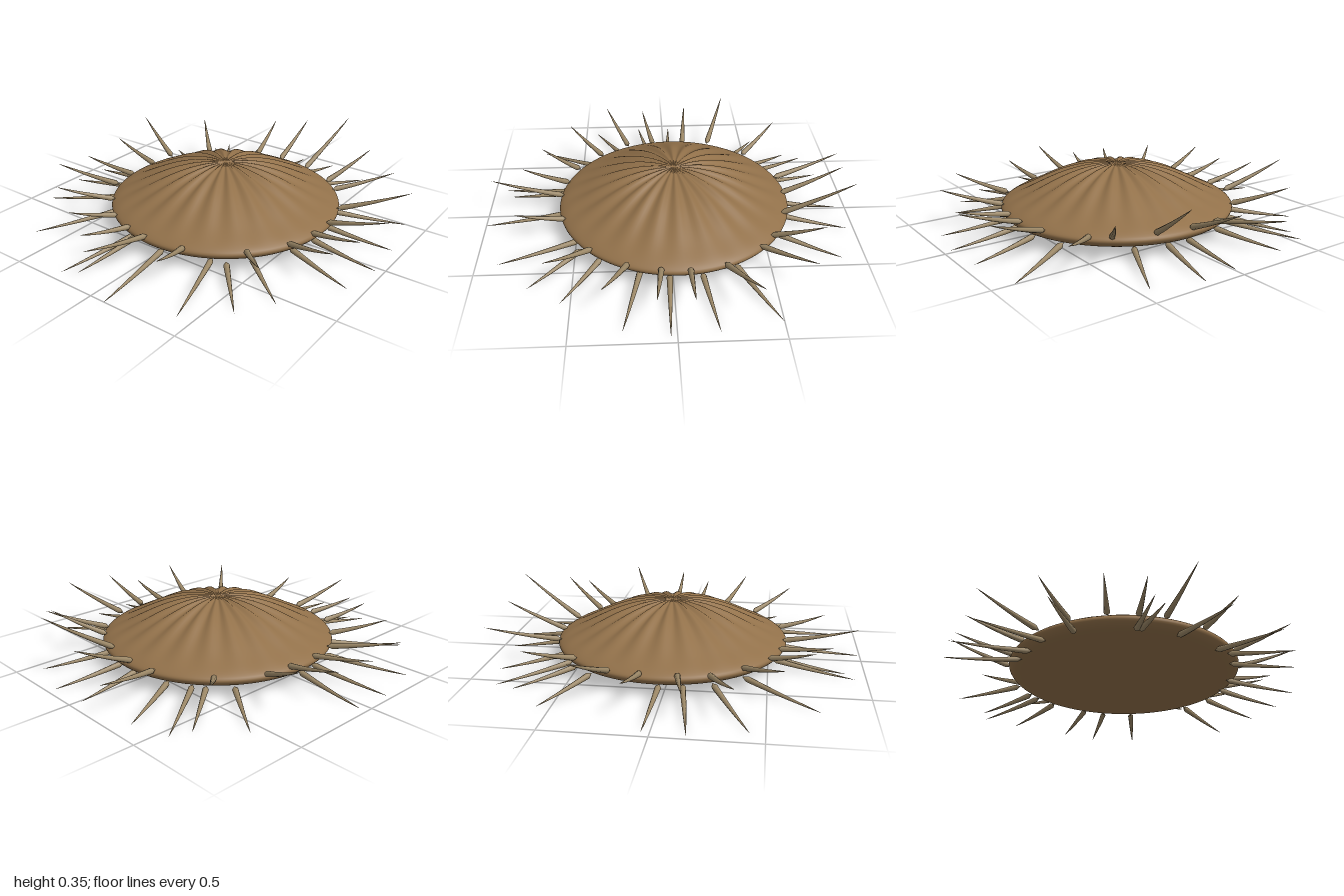
import * as THREE from 'three';
import { mergeVertices } from 'three/addons/utils/BufferGeometryUtils.js';

const CENTRE = { x: 0.015, z: -0.03 };

// Fluted dome with a rounded rim and a flat underside
function shellGeometry() {
  const dome = new THREE.SplineCurve([
    [0.54, 0.05], [0.595, 0.062], [0.625, 0.095], [0.595, 0.125], [0.5, 0.168],
    [0.4, 0.215], [0.3, 0.258], [0.2, 0.29], [0.1, 0.309], [0, 0.315],
  ].map(([r, y]) => new THREE.Vector2(r, y))).getPoints(40);
  dome[dome.length - 1].x = 0;
  const flat = [0, 0.2, 0.4].map((r) => new THREE.Vector2(r, 0.05));
  let geo = new THREE.LatheGeometry([...flat, ...dome], 176);
  geo.deleteAttribute('uv');
  geo.deleteAttribute('normal');
  geo = mergeVertices(geo, 1e-5);
  // Radial flutes, fading out at the crown and the rim
  const p = geo.attributes.position;
  for (let i = 0; i < p.count; i++) {
    const x = p.getX(i), y = p.getY(i), z = p.getZ(i);
    const r = Math.hypot(x, z);
    if (y < 0.12) continue;
    const fade = Math.sin(Math.PI * Math.min(1, r / 0.6));
    p.setY(i, y + 0.008 * fade * Math.cos(22 * Math.atan2(z, x)));
  }
  geo.computeVertexNormals();
  return geo;
}

// Curved spine, round at the root and tapering to a point
function spineGeometry(base, mid, tip) {
  const steps = 14, sides = 8;
  const curve = new THREE.QuadraticBezierCurve3(base, mid, tip);
  const geo = new THREE.TubeGeometry(curve, steps, 1, sides);
  const p = geo.attributes.position;
  const v = new THREE.Vector3();
  for (let i = 0; i < p.count; i++) {
    const t = Math.floor(i / (sides + 1)) / steps;
    const c = curve.getPointAt(t);
    const r = t === 0 ? 0.001 : 0.0165 * Math.pow(1 - t, 0.8) + 0.0003;
    v.fromBufferAttribute(p, i).sub(c).multiplyScalar(r).add(c);
    p.setXYZ(i, v.x, v.y, v.z);
  }
  return geo;
}

// Upper ring: root x, root z, tip x, tip y, tip z
const UPPER = [
  [0, -0.62, -0.01, 0.27, -0.96], [0.19, -0.59, 0.28, 0.35, -0.95],
  [0.38, -0.51, 0.53, 0.27, -0.75], [0.46, -0.44, 0.72, 0.2, -0.68],
  [0.59, -0.25, 0.94, 0.25, -0.39], [0.62, -0.08, 0.96, 0.22, -0.08],
  [0.61, 0.06, 0.9, 0.17, 0.09], [0.57, 0.22, 0.88, 0.22, 0.34],
  [0.45, 0.4, 0.67, 0.21, 0.62], [0.19, 0.55, 0.24, 0.18, 0.81],
  [-0.03, 0.57, -0.06, 0.2, 0.97], [-0.16, 0.55, -0.24, 0.16, 0.83],
  [-0.3, 0.5, -0.41, 0.19, 0.73], [-0.44, 0.37, -0.67, 0.2, 0.58],
  [-0.55, 0.22, -0.9, 0.2, 0.36], [-0.57, 0.07, -0.9, 0.17, 0.13],
  [-0.57, -0.11, -0.9, 0.2, -0.14], [-0.56, -0.26, -0.88, 0.27, -0.38],
  [-0.42, -0.46, -0.63, 0.22, -0.68], [-0.16, -0.61, -0.27, 0.2, -1],
];

// Lower ring: root x, root z, tip x, tip z
const LOWER = [
  [0.13, -0.63, 0.19, -0.96], [0.3, -0.58, 0.44, -0.88], [0.56, -0.33, 0.89, -0.5],
  [0.62, -0.15, 0.94, -0.2], [0.62, 0.02, 0.96, 0.03], [0.58, 0.17, 0.92, 0.25],
  [0.48, 0.38, 0.72, 0.55], [0.4, 0.49, 0.61, 0.72], [0.32, 0.5, 0.42, 0.89],
  [0.055, 0.57, 0.085, 1], [-0.17, 0.55, -0.26, 0.94], [-0.15, 0.56, -0.19, 0.9],
  [-0.44, 0.4, -0.67, 0.75], [-0.55, 0.25, -0.91, 0.43], [-0.58, 0.1, -0.97, 0.16],
  [-0.6, -0.02, -0.96, -0.04], [-0.5, -0.4, -0.77, -0.57], [-0.4, -0.5, -0.59, -0.75],
  [-0.34, -0.54, -0.55, -0.85], [-0.22, -0.6, -0.35, -0.9], [0, -0.63, -0.01, -0.94],
];

export function createModel() {
  const model = new THREE.Group();
  model.name = 'spinyShell';
  const shellBrown = new THREE.MeshStandardMaterial({ color: 0x92714a });
  shellBrown.name = 'shell brown';
  const spineTan = new THREE.MeshStandardMaterial({ color: 0x9c8867 });
  spineTan.name = 'spine tan';

  const shell = new THREE.Mesh(shellGeometry(), shellBrown);
  shell.name = 'shell';
  shell.position.set(CENTRE.x, 0, CENTRE.z);
  model.add(shell);

  const addSpine = (group, name, base, tip, bend) => {
    const mid = base.clone().lerp(tip, 0.5);
    mid.y += bend;
    const spine = new THREE.Mesh(spineGeometry(base, mid, tip), spineTan);
    spine.name = name;
    group.add(spine);
  };

  // Upper spines sweep upward from the rim
  const upper = new THREE.Group();
  upper.name = 'upperSpines';
  for (const [bx, bz, tx, ty, tz] of UPPER) {
    addSpine(upper, 'upperSpine', new THREE.Vector3(bx, 0.115, bz),
      new THREE.Vector3(tx, ty, tz), -0.012);
  }

  // Lower spines spread flat from the underside
  const lower = new THREE.Group();
  lower.name = 'lowerSpines';
  for (const [bx, bz, tx, tz] of LOWER) {
    addSpine(lower, 'lowerSpine', new THREE.Vector3(bx * 0.94, 0.055, bz * 0.94),
      new THREE.Vector3(tx, 0.003, tz), -0.008);
  }
  model.add(upper, lower);
  return model;
}
